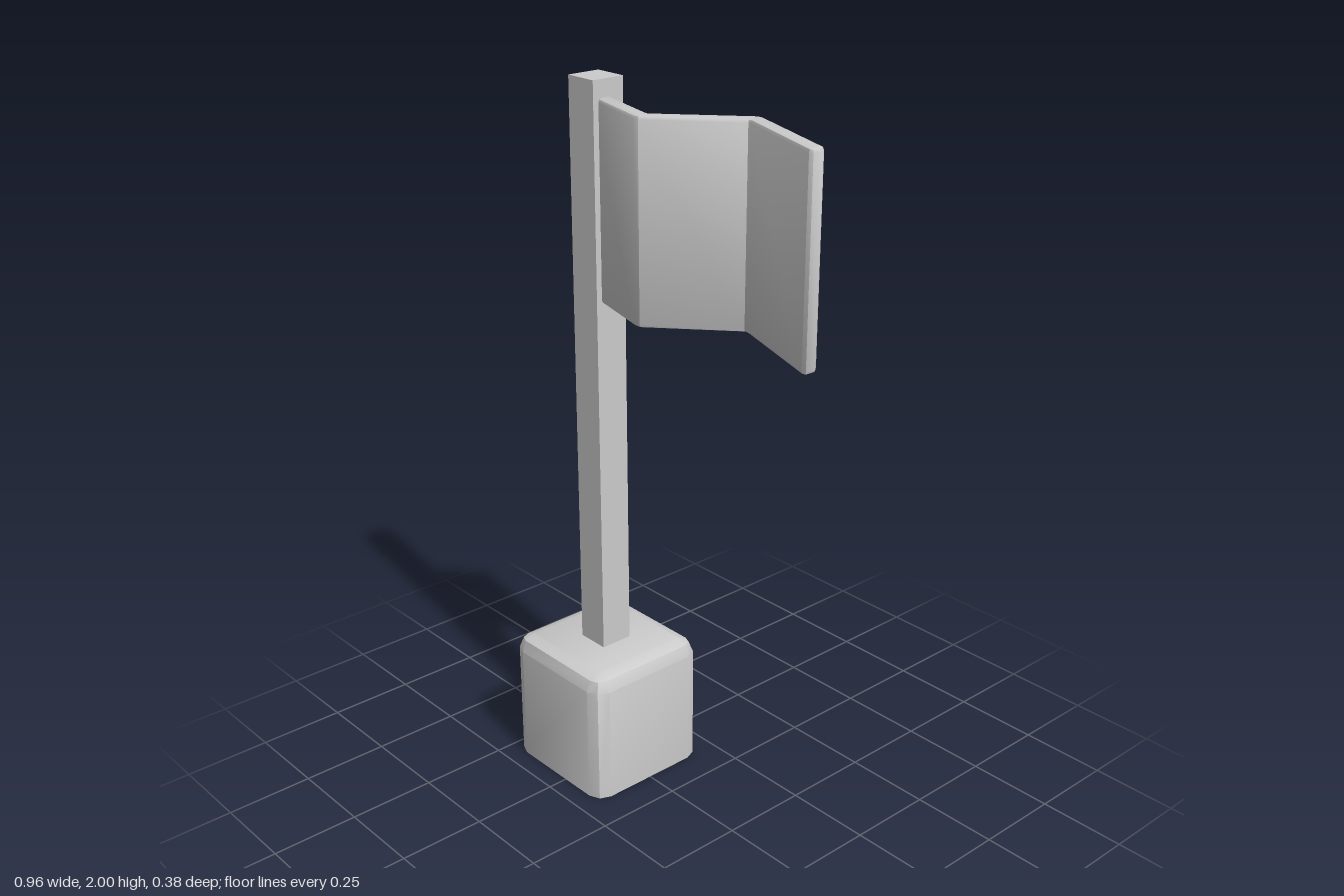
import * as THREE from 'three';
import { toCreasedNormals, mergeVertices } from 'three/addons/utils/BufferGeometryUtils.js';

const POLE_X = -0.289;
const CREASE = Math.PI / 6;

// Square block with two-step rounded sides and top, open underneath
function roundedBlock(half, height, r) {
  const core = half - r;
  const levels = [[0, r], [height - r, r]];
  for (const a of [Math.PI / 4, Math.PI / 2]) {
    levels.push([height - r + r * Math.sin(a), r * Math.cos(a)]);
  }
  const signs = [[1, 1], [-1, 1], [-1, -1], [1, -1]];
  const pos = [], index = [], n = 12;
  for (const [y, rad] of levels) {
    for (let i = 0; i < n; i++) {
      const corner = Math.floor(i / 3);
      const a = corner * Math.PI / 2 + (i % 3) * Math.PI / 4;
      pos.push(signs[corner][0] * core + rad * Math.cos(a), y, signs[corner][1] * core + rad * Math.sin(a));
    }
  }
  // walls; the topmost ring shrinks to four corners, so its collapsed faces are skipped
  const last = levels.length - 2;
  for (let l = 0; l <= last; l++) {
    for (let i = 0; i < n; i++) {
      const a = l * n + i, b = l * n + (i + 1) % n;
      index.push(a, a + n, b);
      if (l < last || i % 3 === 2) index.push(b, a + n, b + n);
    }
  }
  // flat top
  const t = (levels.length - 1) * n;
  index.push(t, t + 6, t + 3, t, t + 9, t + 6);
  const geo = new THREE.BufferGeometry();
  geo.setAttribute('position', new THREE.Float32BufferAttribute(pos, 3));
  geo.setIndex(index);
  return toCreasedNormals(mergeVertices(geo), CREASE);
}

// Bent panel: its plan outline (x, z) is raised from y0 to y1 with softened edges
function bentPanel(outline, y0, y1, bevel) {
  const shape = new THREE.Shape(outline.map(([x, z]) => new THREE.Vector2(x, -z)));
  const geo = new THREE.ExtrudeGeometry(shape, {
    depth: y1 - y0 - 2 * bevel,
    bevelThickness: bevel,
    bevelSize: bevel,
    bevelOffset: -bevel,
    bevelSegments: 2,
  });
  geo.rotateX(-Math.PI / 2);
  geo.translate(0, y0 + bevel, 0);
  return toCreasedNormals(geo, CREASE);
}

export function createModel() {
  const group = new THREE.Group();
  const grey = new THREE.MeshStandardMaterial({ color: 0xcccccc });
  const greyDouble = new THREE.MeshStandardMaterial({ color: 0xcccccc, side: THREE.DoubleSide });
  const add = (name, geo, mat = grey) => {
    const mesh = new THREE.Mesh(geo, mat);
    mesh.name = name;
    group.add(mesh);
    return mesh;
  };

  // Hollow base block
  add('base', roundedBlock(0.192, 0.39, 0.045), greyDouble).position.x = POLE_X;

  // Square pole standing on the base
  const bottom = 0.387, top = 2;
  add('pole', new THREE.BoxGeometry(0.097, top - bottom, 0.097))
    .position.set(POLE_X, (top + bottom) / 2, 0);

  // Zigzag flag, rooted inside the pole
  const outline = [
    [-0.28, 0.021], [-0.049, 0.083], [-0.03, 0.083], [0.168, -0.091], [0.18, -0.09],
    [0.468, 0.013], [0.479, 0.01], [0.481, -0.02], [0.472, -0.031],
    [0.179, -0.134], [0.161, -0.134], [-0.036, 0.04], [-0.048, 0.039], [-0.28, -0.021],
  ];
  add('flag', bentPanel(outline, 1.418, 1.953, 0.01));

  return group;
}
